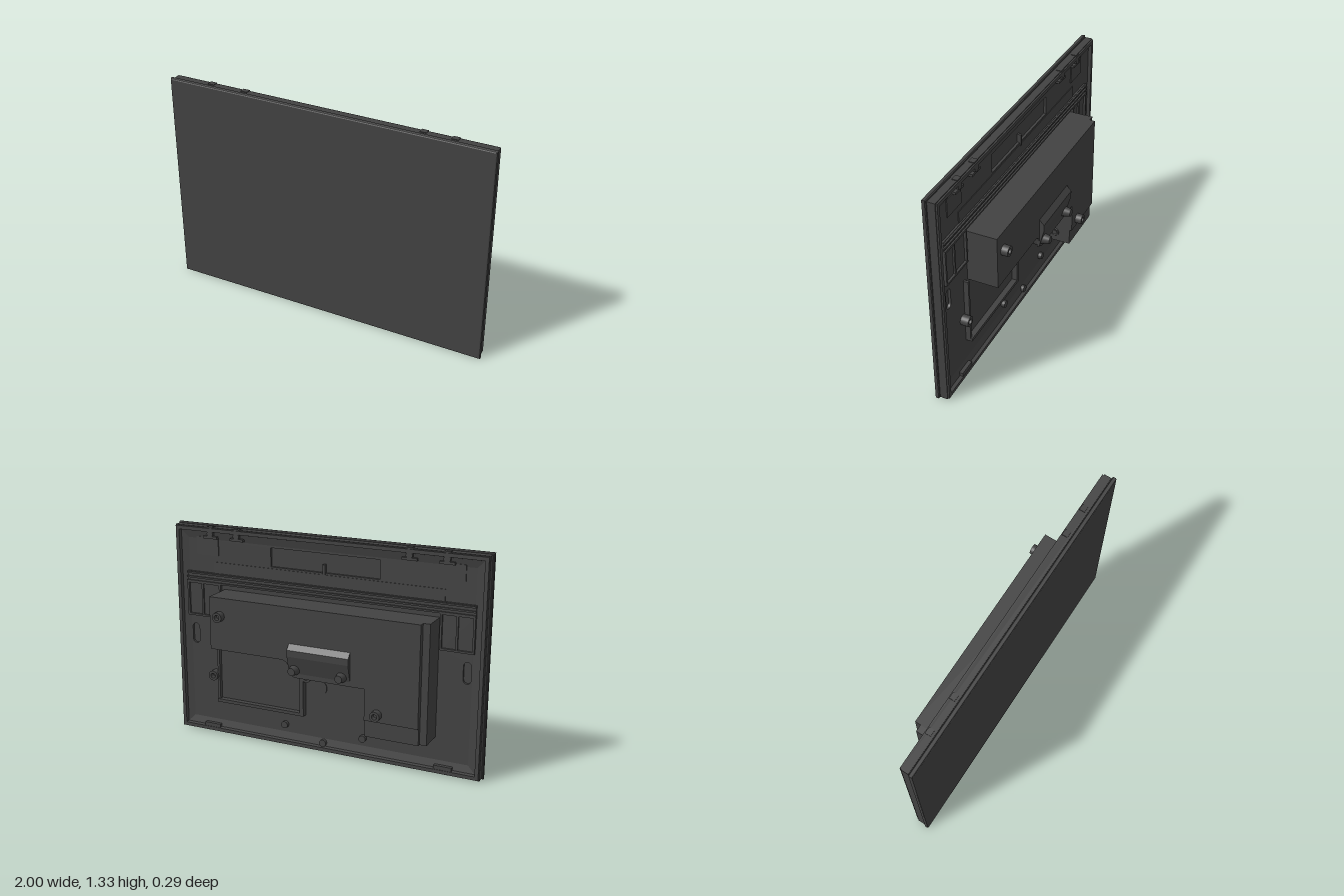
import * as THREE from 'three';

export function createModel() {
  const model = new THREE.Group();
  const casing = new THREE.MeshStandardMaterial({ color: 0x424242 });
  casing.name = 'charcoal casing';

  function add(name, geo, x = 0, y = 0, z = 0) {
    const m = new THREE.Mesh(geo, casing);
    m.name = name;
    m.position.set(x, y, z);
    model.add(m);
    return m;
  }
  // box given by its limits
  function box(name, x0, x1, y0, y1, z0, z1) {
    return add(name, new THREE.BoxGeometry(x1 - x0, y1 - y0, z1 - z0),
      (x0 + x1) / 2, (y0 + y1) / 2, (z0 + z1) / 2);
  }
  // round stud pointing backwards from z1 to z0
  function stud(name, x, y, z0, z1, rBack, rBase = rBack) {
    const g = new THREE.CylinderGeometry(rBase, rBack, z1 - z0, 24);
    g.rotateX(Math.PI / 2);
    return add(name, g, x, y, (z0 + z1) / 2);
  }
  function rectPath(P, x0, x1, y0, y1) {
    const p = new P();
    p.moveTo(x0, y0); p.lineTo(x1, y0); p.lineTo(x1, y1); p.lineTo(x0, y1); p.closePath();
    return p;
  }
  function slotPath(x, y, r, h) {
    const p = new THREE.Path();
    p.absarc(x, y + h, r, 0, Math.PI, false);
    p.absarc(x, y - h, r, Math.PI, Math.PI * 2, false);
    p.closePath();
    return p;
  }
  function plate(name, shape, z0, z1) {
    return add(name, new THREE.ExtrudeGeometry(shape,
      { depth: z1 - z0, bevelEnabled: false, curveSegments: 10 }), 0, 0, z0);
  }
  // rectangular outline with wall thickness t
  function frame(name, x0, x1, y0, y1, z0, z1, t) {
    const s = rectPath(THREE.Shape, x0, x1, y0, y1);
    s.holes.push(rectPath(THREE.Path, x0 + t, x1 - t, y0 + t, y1 - t));
    return plate(name, s, z0, z1);
  }

  // panel shell: rectangular loops [inset, z] from the front face round to the recessed back
  const loops = [[0.008, 0.145], [0.002, 0.142], [0, 0.138], [0, 0.123], [0.004, 0.118], [0.012, 0.118],
    [0.012, 0.115], [0.008, 0.115], [0.008, 0.07], [0.013, 0.07], [0.013, 0.06], [0.035, 0.06],
    [0.04, 0.08], [0.085, 0.09], [0.085, 0.105]];
  const pos = [];
  const corners = ([i, z]) => [[-1 + i, i, z], [1 - i, i, z], [1 - i, 1.333 - i, z], [-1 + i, 1.333 - i, z]];
  const quad = (a, b, c, d) => pos.push(...a, ...b, ...c, ...a, ...c, ...d);
  quad(...corners(loops[0]));
  for (let k = 0; k + 1 < loops.length; k++) {
    const a = corners(loops[k]), b = corners(loops[k + 1]);
    for (let j = 0; j < 4; j++) {
      const n = (j + 1) % 4;
      quad(a[j], b[j], b[n], a[n]);
    }
  }
  quad(...corners(loops[loops.length - 1]).reverse());
  const shell = new THREE.BufferGeometry();
  shell.setAttribute('position', new THREE.Float32BufferAttribute(pos, 3));
  shell.computeVertexNormals();
  add('panelShell', shell);

  // back sheet with sunken slots
  const sheet = rectPath(THREE.Shape, -0.915, 0.915, 0.085, 1.248);
  sheet.holes.push(rectPath(THREE.Path, -0.35, 0.35, 1.12, 1.235),
    slotPath(0.885, 0.64, 0.024, 0.04), slotPath(-0.885, 0.64, 0.024, 0.04));
  plate('backSheet', sheet, 0.09, 0.105);
  box('handleDivider', -0.008, 0.008, 1.1, 1.17, 0.082, 0.105);

  // raised strip and long rail across the upper back
  box('labelStrip', -0.74, 0.74, 1.035, 1.11, 0.086, 0.092);
  box('railBase', -0.925, 0.925, 0.975, 1.04, 0.078, 0.092);
  for (const y of [0.98, 1.005, 1.032]) box('railRib', -0.925, 0.925, y - 0.005, y + 0.005, 0.068, 0.08);

  for (const s of [-1, 1]) {
    // framed pads at the ends of the rail
    const [a, b] = s > 0 ? [0.69, 0.925] : [-0.925, -0.72];
    box('endPad', a, b, 0.76, 0.98, 0.084, 0.092);
    frame('endPadRim', a, b, 0.76, 0.98, 0.07, 0.085, 0.012);
    box('endPadRib', s * 0.82 - 0.006, s * 0.82 + 0.006, 0.77, 0.97, 0.074, 0.086);
    // upper corner covers and bottom tabs
    box('cornerCover', s * 0.78 - 0.075, s * 0.78 + 0.075, 1.15, 1.26, 0.084, 0.092);
    box('bottomTab', s * 0.77 - 0.055, s * 0.77 + 0.055, 0.022, 0.06, 0.062, 0.092);
  }

  // latches along the top edge
  for (const x of [-0.75, -0.53, 0.57, 0.75]) {
    stud('latchPin', x, 1.285, 0.062, 0.09, 0.02);
    box('latchArm', x - 0.045, x + 0.045, 1.255, 1.27, 0.066, 0.092);
    box('latchFoot', x - 0.02, x + 0.02, 1.285, 1.329, 0.066, 0.1);
  }

  // stepped electronics housing
  const body = new THREE.Shape();
  body.moveTo(-0.67, 0.33);
  body.lineTo(-0.34, 0.33);
  body.lineTo(-0.34, 0.52);
  body.lineTo(0.1, 0.52);
  body.quadraticCurveTo(0.135, 0.525, 0.14, 0.565);
  body.quadraticCurveTo(0.145, 0.615, 0.19, 0.62);
  body.lineTo(0.67, 0.62);
  body.lineTo(0.67, 0.945);
  body.lineTo(-0.67, 0.945);
  body.closePath();
  plate('housing', body, -0.095, 0.095);
  box('housingFoot', -0.67, -0.34, 0.225, 0.33, -0.08, 0.095);
  box('housingSideStrip', -0.712, -0.67, 0.225, 0.945, -0.06, 0.095);

  // sockets on the inner side of the foot
  for (const y of [0.29, 0.38, 0.47]) {
    const g = new THREE.TorusGeometry(0.024, 0.005, 8, 24);
    g.rotateY(Math.PI / 2);
    add('socketRing', g, -0.34, y, 0.02);
    const c = new THREE.CylinderGeometry(0.015, 0.015, 0.008, 16);
    c.rotateZ(Math.PI / 2);
    add('socketCore', c, -0.337, y, 0.02);
  }

  // sloped bracket with two tapered knobs
  const prof = new THREE.Shape([[0.08, 0.53], [0.09, 0.53], [0.124, 0.655], [0.124, 0.694], [0.095, 0.726], [0.08, 0.726]]
    .map(p => new THREE.Vector2(...p)));
  const wedge = new THREE.ExtrudeGeometry(prof, { depth: 0.39, bevelEnabled: false });
  wedge.rotateY(Math.PI / 2);
  add('bracket', wedge, -0.25);
  for (const x of [-0.2, 0.1]) stud('bracketKnob', x, 0.572, -0.147, -0.09, 0.023, 0.034);

  // mounting studs with hollow ends
  for (const [x, y, z0, z1] of [[0.6, 0.832, -0.135, -0.09], [-0.42, 0.377, -0.135, -0.09],
    [0.745, 0.39, 0.042, 0.092], [0.1, 0.475, 0.045, 0.092]]) {
    const r = 0.031, i = 0.016;
    const g = new THREE.LatheGeometry([[r, 0], [r, z1 - z0], [i, z1 - z0], [i, 0.015], [0, 0.015]]
      .map(p => new THREE.Vector2(...p)).flatMap((p, k) => k && k < 4 ? [p, p.clone()] : [p]), 24);
    g.rotateX(-Math.PI / 2);
    add('mountingStud', g, x, y, z1);
  }

  // cable bay frame beneath the housing
  box('bayFloor', 0.14, 0.71, 0.23, 0.62, 0.084, 0.092);
  box('bayBottomWall', 0.12, 0.72, 0.22, 0.24, 0.05, 0.092);
  box('bayInnerWall', 0.12, 0.145, 0.24, 0.56, 0.05, 0.092);
  box('bayOuterWall', 0.705, 0.72, 0.24, 0.64, 0.06, 0.092);

  // small bosses on the lower back
  stud('flatBoss', 0.03, 0.41, 0.086, 0.092, 0.05);
  for (const [x, y] of [[0.26, 0.135], [-0.26, 0.135], [0, 0.06]]) stud('lowerBoss', x, y, 0.068, 0.092, 0.022);

  return model;
}
